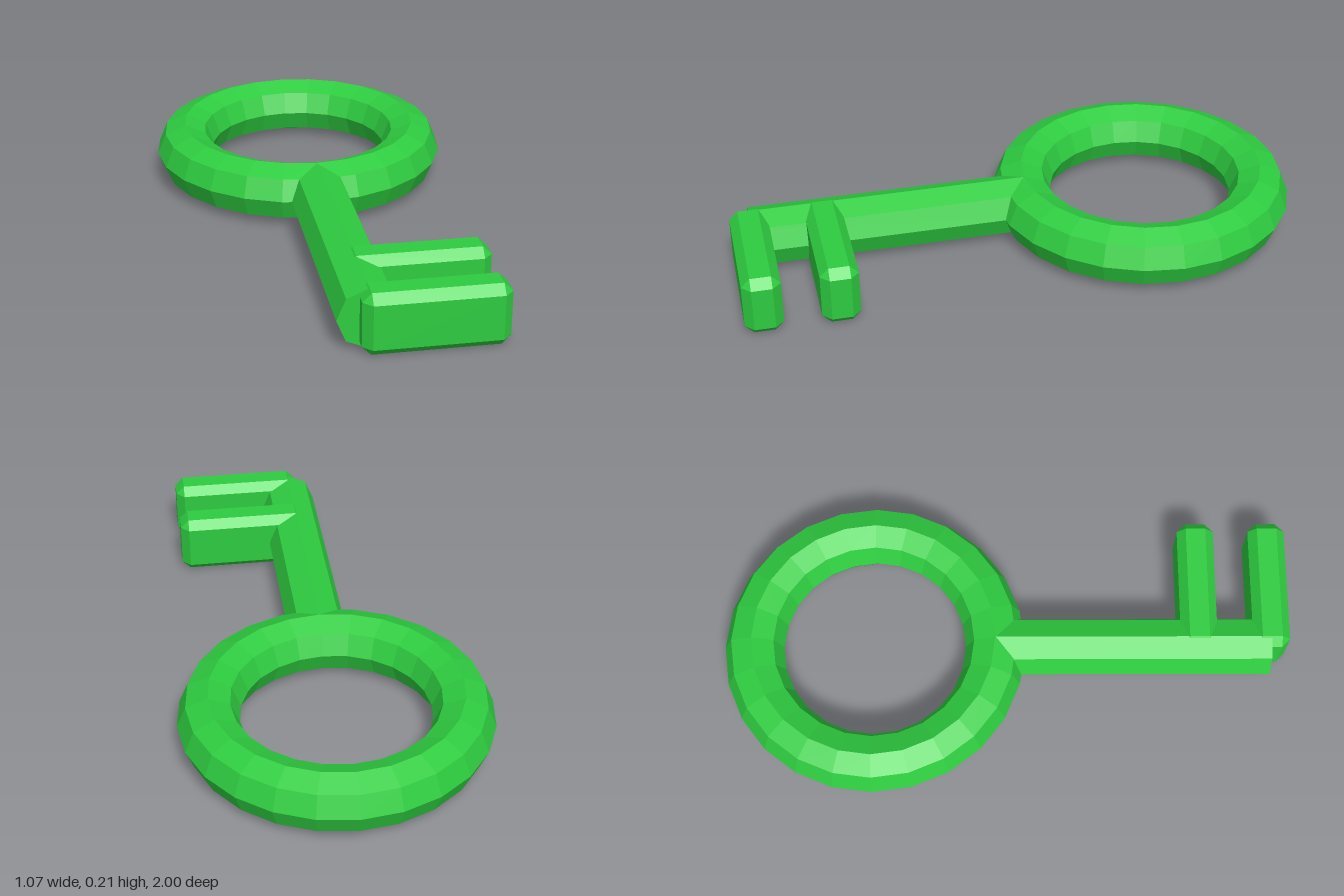
import * as THREE from 'three';
import { ConvexGeometry } from 'three/addons/geometries/ConvexGeometry.js';

const MID = 0.107; // height of the key's centre plane

// Box with every edge cut by a flat chamfer c
function chamferedBox(w, h, d, c) {
  const points = [];
  for (const sx of [-1, 1]) for (const sy of [-1, 1]) for (const sz of [-1, 1]) {
    for (let full = 0; full < 3; full++) {
      const cut = (axis) => (axis === full ? 0 : c);
      points.push(new THREE.Vector3(
        sx * (w / 2 - cut(0)), sy * (h / 2 - cut(1)), sz * (d / 2 - cut(2))));
    }
  }
  return new ConvexGeometry(points);
}

export function createModel() {
  const key = new THREE.Group();
  key.name = 'key';
  const green = new THREE.MeshStandardMaterial({ color: 0x2ecc40, flatShading: true });

  const add = (name, geometry, x, z) => {
    const mesh = new THREE.Mesh(geometry, green);
    mesh.name = name;
    mesh.position.set(x, MID, z);
    key.add(mesh);
  };

  // Ring-shaped handle, lying flat
  add('handleRing', new THREE.TorusGeometry(0.428, 0.105, 8, 24).rotateX(Math.PI / 2), 0, -0.467);

  // Octagonal shaft from the ring to the front tooth
  const start = -0.037, end = 0.933;
  add('shaft', new THREE.CylinderGeometry(0.104, 0.104, end - start, 8).rotateX(Math.PI / 2),
    0, (start + end) / 2);

  // Two chamfered teeth on the left side
  const tooth = chamferedBox(0.472, 0.213, 0.13, 0.03);
  add('innerTooth', tooth, 0.205, 0.68);
  add('outerTooth', tooth, 0.205, 0.935);

  return key;
}
